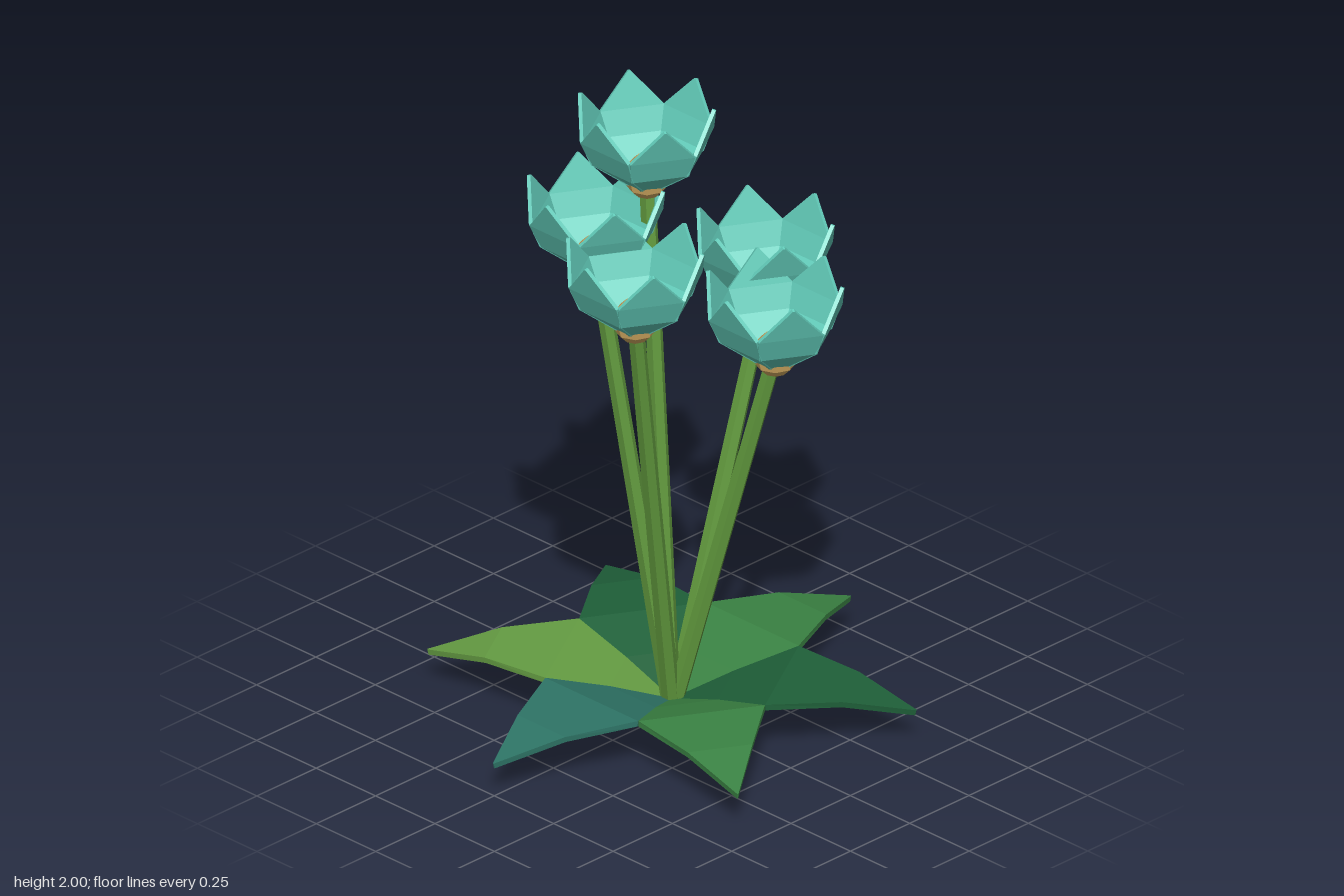
import * as THREE from 'three';

const mat = (name, color) => {
  const m = new THREE.MeshStandardMaterial({ color, flatShading: true });
  m.name = name;
  return m;
};

// Flat blade running along +x: rows are [distance, height, halfWidth], given a thickness
function blade(rows, thickness) {
  const rings = rows.map(([r, y, w], i) => {
    const a = rows[Math.max(i - 1, 0)], b = rows[Math.min(i + 1, rows.length - 1)];
    const n = new THREE.Vector2(a[1] - b[1], b[0] - a[0]).normalize().multiplyScalar(thickness / 2);
    return [
      [r + n.x, y + n.y, -w], [r + n.x, y + n.y, w],
      [r - n.x, y - n.y, w], [r - n.x, y - n.y, -w],
    ];
  });
  const pos = [];
  const quad = (a, b, c, d) => pos.push(...a, ...b, ...c, ...a, ...c, ...d);
  for (let i = 0; i < rings.length - 1; i++) {
    for (let k = 0; k < 4; k++) {
      const j = (k + 1) % 4;
      quad(rings[i][k], rings[i][j], rings[i + 1][j], rings[i + 1][k]);
    }
  }
  const [s, e] = [rings[0], rings[rings.length - 1]];
  quad(s[3], s[2], s[1], s[0]);
  quad(e[0], e[1], e[2], e[3]);
  const g = new THREE.BufferGeometry();
  g.setAttribute('position', new THREE.Float32BufferAttribute(pos, 3));
  g.computeVertexNormals();
  return g;
}

export function createModel() {
  const model = new THREE.Group();
  model.name = 'flowerPlant';

  const petalMat = mat('petal teal', 0x62cbb9);
  const budMat = mat('bud gold', 0xd6ad63);
  const stemMat = mat('stem green', 0x629a3e);
  const midGreen = mat('leaf mid green', 0x3a8243);
  const darkGreen = mat('leaf dark green', 0x1f6039);
  const lightGreen = mat('leaf light green', 0x659d43);
  const blueGreen = mat('leaf blue green', 0x2e7466);

  const add = (parent, name, geo, material) => {
    const m = new THREE.Mesh(geo, material);
    m.name = name;
    parent.add(m);
    return m;
  };

  // Rosette of six arching leaves, counter-clockwise from +x seen from above
  const leafGeo = blade([
    [0.01, 0.04, 0.03], [0.17, 0.105, 0.12], [0.34, 0.16, 0.195],
    [0.55, 0.15, 0.1], [0.752, 0.1, 0.002],
  ], 0.018);
  const leaves = new THREE.Group();
  leaves.name = 'leaves';
  model.add(leaves);
  [midGreen, darkGreen, lightGreen, blueGreen, midGreen, darkGreen].forEach((m, i) => {
    add(leaves, 'leaf', leafGeo, m).rotation.y = i * Math.PI / 3;
  });

  // Flowers: x, height of petal tips, z
  const petalGeo = blade([
    [0.04, -0.275, 0.03], [0.145, -0.185, 0.09], [0.175, -0.11, 0.1], [0.207, 0, 0.003],
  ], 0.012);
  const budGeo = new THREE.SphereGeometry(0.07, 8, 6);
  const root = new THREE.Vector3(0, 0.005, 0);
  const up = new THREE.Vector3(0, 1, 0);

  const heads = [
    [0.025, 2.0, -0.13], [-0.285, 1.725, 0.13], [-0.145, 1.77, -0.175],
    [0.37, 1.54, 0.025], [0.135, 1.52, 0.3],
  ];
  for (const [x, y, z] of heads) {
    const flower = new THREE.Group();
    flower.name = 'flower';
    model.add(flower);

    // Straight six-sided stem from the root to the bud
    const top = new THREE.Vector3(x, y - 0.25, z);
    const dir = top.clone().sub(root);
    const stem = add(flower, 'stem', new THREE.CylinderGeometry(0.025, 0.028, dir.length(), 6), stemMat);
    stem.position.copy(root).add(top).multiplyScalar(0.5);
    stem.quaternion.setFromUnitVectors(up, dir.normalize());

    add(flower, 'bud', budGeo, budMat).position.copy(top);

    // Cup of six petals
    for (let i = 0; i < 6; i++) {
      const petal = add(flower, 'petal', petalGeo, petalMat);
      petal.position.set(x, y, z);
      petal.rotation.y = i * Math.PI / 3;
    }
  }
  return model;
}
